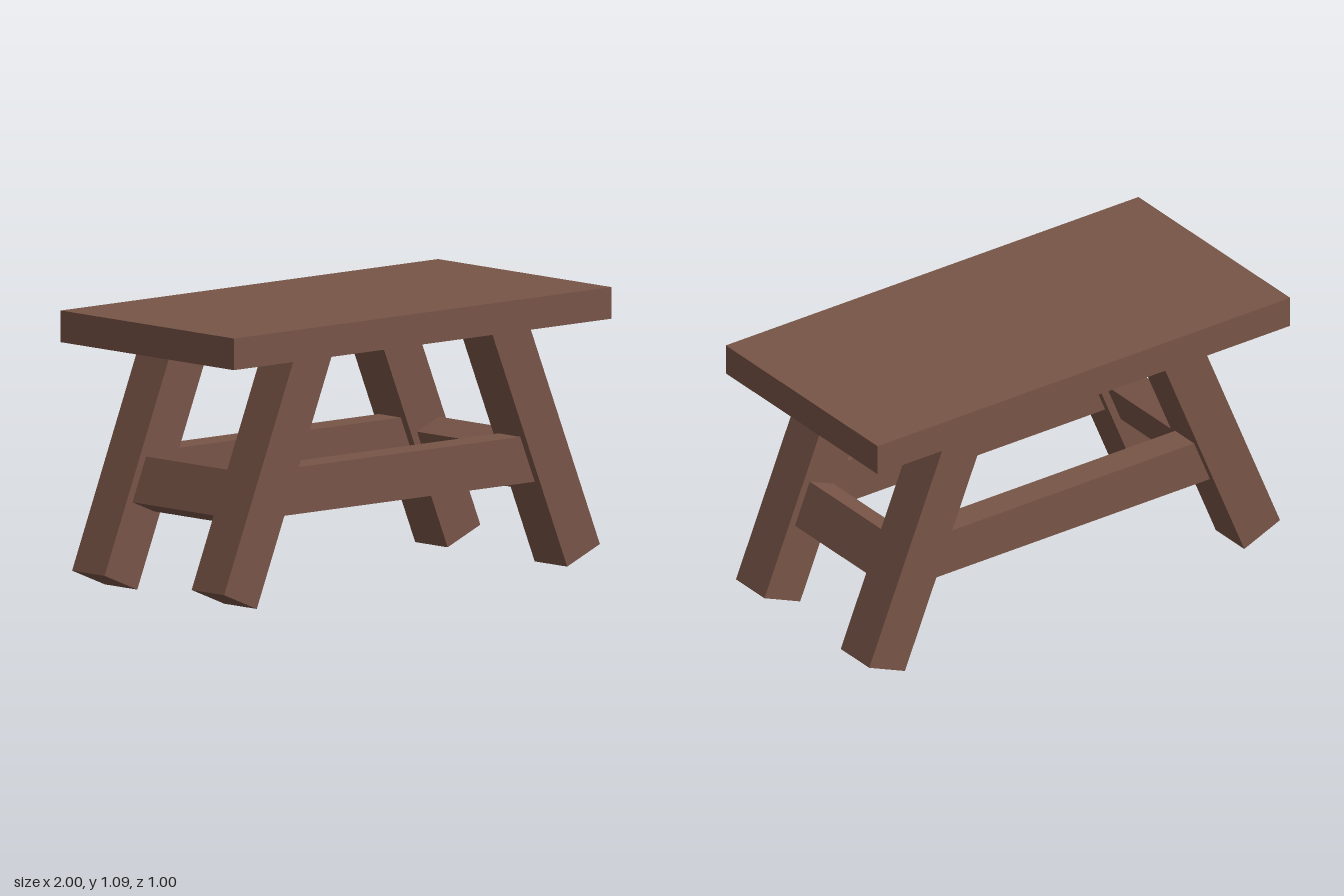
import * as THREE from 'three';

export function createModel() {
  const model = new THREE.Group();
  model.name = 'table';
  const wood = new THREE.MeshStandardMaterial({ color: 0x795548 });
  wood.name = 'brown wood';

  const beam = (parent, name, size, position) => {
    const mesh = new THREE.Mesh(new THREE.BoxGeometry(...size), wood);
    mesh.name = name;
    mesh.position.set(...position);
    parent.add(mesh);
    return mesh;
  };

  // Thick slab top
  beam(model, 'tableTop', [2, 0.125, 1], [0, 1.03, 0]);

  // Splayed leg frame at each end: two square legs joined by a cross rail
  const legWidth = 0.1875, legLength = 1.07, legZ = 0.345;
  for (const side of [1, -1]) {
    const frame = new THREE.Group();
    frame.name = side > 0 ? 'leftLegFrame' : 'rightLegFrame';
    frame.position.set(side * 0.909, 0.036, 0);
    frame.rotation.z = side * Math.PI / 8;
    for (const z of [legZ, -legZ]) {
      beam(frame, z > 0 ? 'frontLeg' : 'backLeg', [legWidth, legLength, legWidth], [0, legLength / 2, z]);
    }
    beam(frame, 'crossRail', [0.125, 0.1875, 0.56], [0, 0.405, 0]);
    model.add(frame);
  }

  // Long rails running between the leg frames
  for (const z of [legZ, -legZ]) {
    beam(model, z > 0 ? 'frontRail' : 'backRail', [1.38, 0.185, 0.125], [0, 0.439, z]);
  }

  return model;
}
